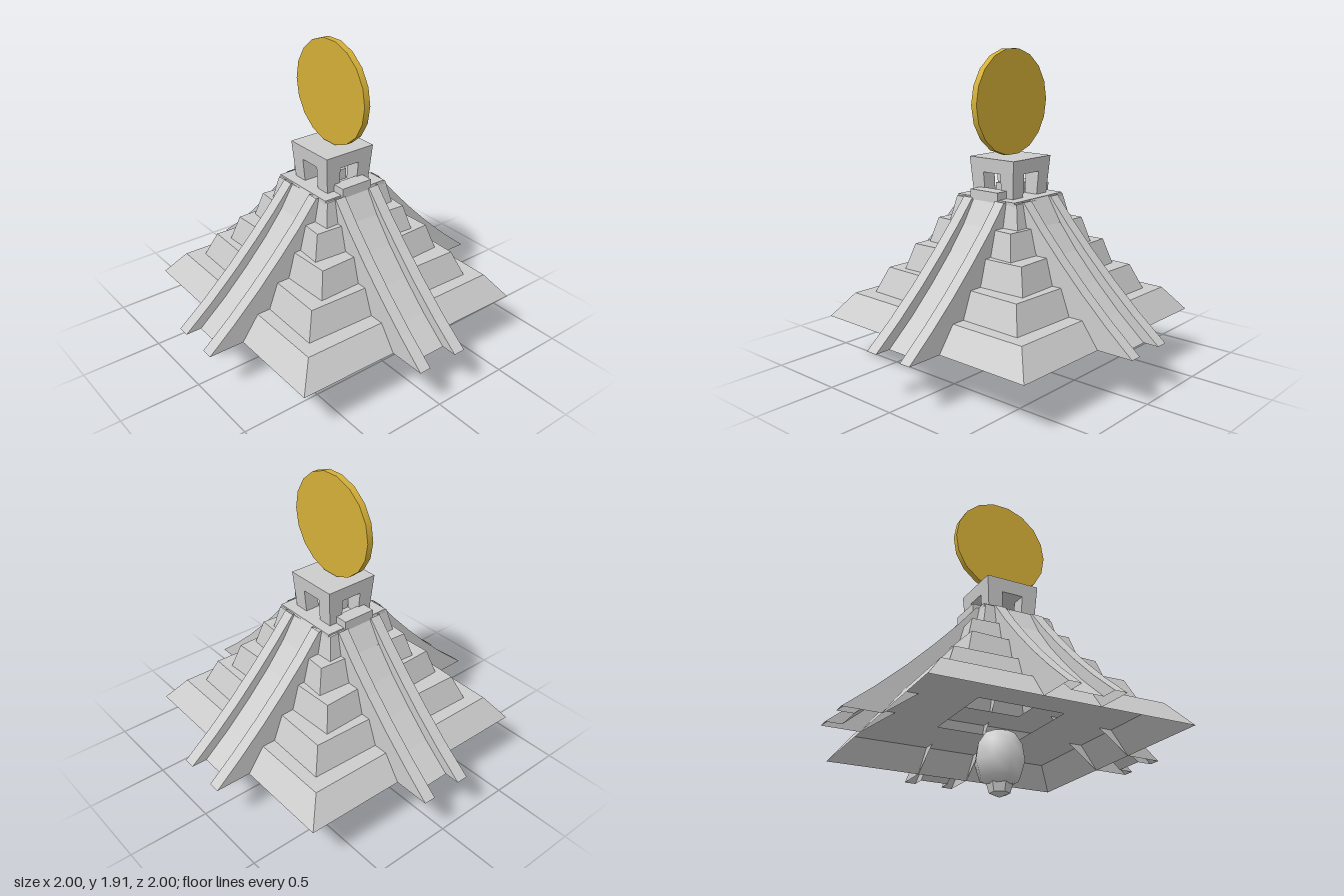
import * as THREE from 'three';

const stone = new THREE.MeshStandardMaterial({ color: 0xcccccc, side: THREE.DoubleSide });
stone.name = 'stone';
const gold = new THREE.MeshStandardMaterial({ color: 0xd4af37 });
gold.name = 'gold';

function flat(geo) {
  const g = geo.index ? geo.toNonIndexed() : geo;
  g.computeVertexNormals();
  return g;
}

function add(parent, name, geo, mat = stone) {
  const mesh = new THREE.Mesh(geo, mat);
  mesh.name = name;
  parent.add(mesh);
  return mesh;
}

// Box between two corners
function block(x0, x1, y0, y1, z0, z1) {
  return new THREE.BoxGeometry(x1 - x0, y1 - y0, z1 - z0)
    .translate((x0 + x1) / 2, (y0 + y1) / 2, (z0 + z1) / 2);
}

// Hollow square frustum wall
function squareWall(bottom, top, y0, y1) {
  const r = Math.SQRT2;
  return flat(new THREE.CylinderGeometry(top * r, bottom * r, y1 - y0, 4, 1, true)
    .rotateY(Math.PI / 4).translate(0, (y0 + y1) / 2, 0));
}

function square(path, h) {
  path.moveTo(-h, -h);
  path.lineTo(h, -h);
  path.lineTo(h, h);
  path.lineTo(-h, h);
  path.closePath();
  return path;
}

// Flat terrace, open in the middle
function terrace(half, hole, y) {
  const shape = square(new THREE.Shape(), half);
  if (hole) shape.holes.push(square(new THREE.Path(), hole));
  return new THREE.ShapeGeometry(shape).rotateX(-Math.PI / 2).translate(0, y, 0);
}

// Stairway channel with a raised balustrade on each side, lofted up the slope
function stairway() {
  // height, hidden inner edge, balustrade edge, stair surface, width factor
  const stations = [
    [0.31, 0.775, 1.0, 0.905, 1.03],
    [0.455, 0.58, 0.825, 0.735, 1.01],
    [0.61, 0.45, 0.655, 0.575, 1],
    [0.765, 0.34, 0.5, 0.43, 0.99],
    [0.915, 0.25, 0.36, 0.31, 0.98],
    [1.06, 0.21, 0.237, 0.222, 0.96],
  ];
  const rows = stations.map(([y, inner, edge, stair, w]) => {
    const a = 0.164 * w, b = 0.092 * w;
    return [[-a, inner], [-a, edge], [-b, edge], [-b, stair],
      [b, stair], [b, edge], [a, edge], [a, inner]].map(([x, z]) => [x, y, z]);
  });
  const pos = [];
  for (let i = 0; i < rows.length - 1; i++) {
    for (let j = 0; j < 7; j++) {
      const a = rows[i][j], b = rows[i][j + 1], c = rows[i + 1][j + 1], d = rows[i + 1][j];
      pos.push(...a, ...b, ...c, ...a, ...c, ...d);
    }
  }
  const g = new THREE.BufferGeometry();
  g.setAttribute('position', new THREE.Float32BufferAttribute(pos, 3));
  g.computeVertexNormals();
  return g;
}

// Widens a geometry towards the top of the shrine
function flare(geo) {
  const p = geo.attributes.position;
  for (let i = 0; i < p.count; i++) {
    const s = 1 + 0.12 * (p.getY(i) - 1.05) / 0.24;
    p.setX(i, p.getX(i) * s);
    p.setZ(i, p.getZ(i) * s);
  }
  return flat(geo);
}

export function createModel() {
  const model = new THREE.Group();
  model.name = 'steppedPyramid';

  // Stepped tiers, each slightly turned: base half, top half, y0, y1, hole, turn
  const tiers = [
    [0.778, 0.668, 0.31, 0.455, 0.27, -0.012],
    [0.582, 0.52, 0.455, 0.61, 0.27, -0.03],
    [0.45, 0.405, 0.61, 0.765, 0.22, 0.032],
    [0.345, 0.305, 0.765, 0.915, 0.17, -0.07],
    [0.255, 0.225, 0.915, 1.055, 0, 0.04],
  ];
  tiers.forEach(([b, t, y0, y1, hole, turn], i) => {
    const tier = new THREE.Group();
    tier.name = 'tier' + (i + 1);
    tier.rotation.y = turn;
    add(tier, 'tierWall', squareWall(b, t, y0, y1));
    add(tier, 'tierTerrace', terrace(t, hole, y1));
    model.add(tier);
  });

  // Four stairways
  const stairs = stairway();
  for (let i = 0; i < 4; i++) {
    add(model, 'stairway', stairs).rotation.y = i * Math.PI / 2;
  }

  // Shrine on the summit
  const shrine = new THREE.Group();
  shrine.name = 'shrine';
  model.add(shrine);
  add(shrine, 'platform', block(-0.22, 0.22, 1.035, 1.065, -0.22, 0.22));
  for (const s of [-1, 1]) {
    add(shrine, 'sideStep', block(-0.045, 0.045, 1.05, 1.11, -0.105, 0.105)).position.x = s * 0.19;
  }
  add(shrine, 'altar', block(-0.06, 0.06, 1.06, 1.13, -0.06, 0.06));
  for (const [x, z] of [[0, 0], [0, 1], [1, 0], [1, 1]]) {
    const px = x ? 0.062 : -0.152, pz = z ? 0.062 : -0.152;
    add(shrine, 'cornerPillar', flare(block(px, px + 0.09, 1.05, 1.205, pz, pz + 0.09)));
  }
  add(shrine, 'roof', flare(block(-0.152, 0.152, 1.205, 1.29, -0.152, 0.152)));

  // Golden disc standing over the roof
  add(model, 'sunDisc', new THREE.CylinderGeometry(0.313, 0.313, 0.04, 18)
    .rotateY(Math.PI / 18).rotateX(Math.PI / 2).translate(0, 1.608, 0), gold);

  // Rounded pendant hanging beneath the hollow base
  const pendant = new THREE.Group();
  pendant.name = 'pendant';
  model.add(pendant);
  const profile = [[0.001, 0.06], [0.06, 0.07], [0.12, 0.105], [0.15, 0.2],
    [0.135, 0.3], [0.09, 0.37], [0.001, 0.4]].map(([r, y]) => new THREE.Vector2(r, y));
  add(pendant, 'pendantBody', new THREE.LatheGeometry(profile, 8));
  const tip = [[0.001, 0.002], [0.06, 0.025], [0.075, 0.08], [0.05, 0.13]]
    .map(([r, y]) => new THREE.Vector2(r, y));
  add(pendant, 'pendantTip', flat(new THREE.LatheGeometry(tip, 6)));

  return model;
}
